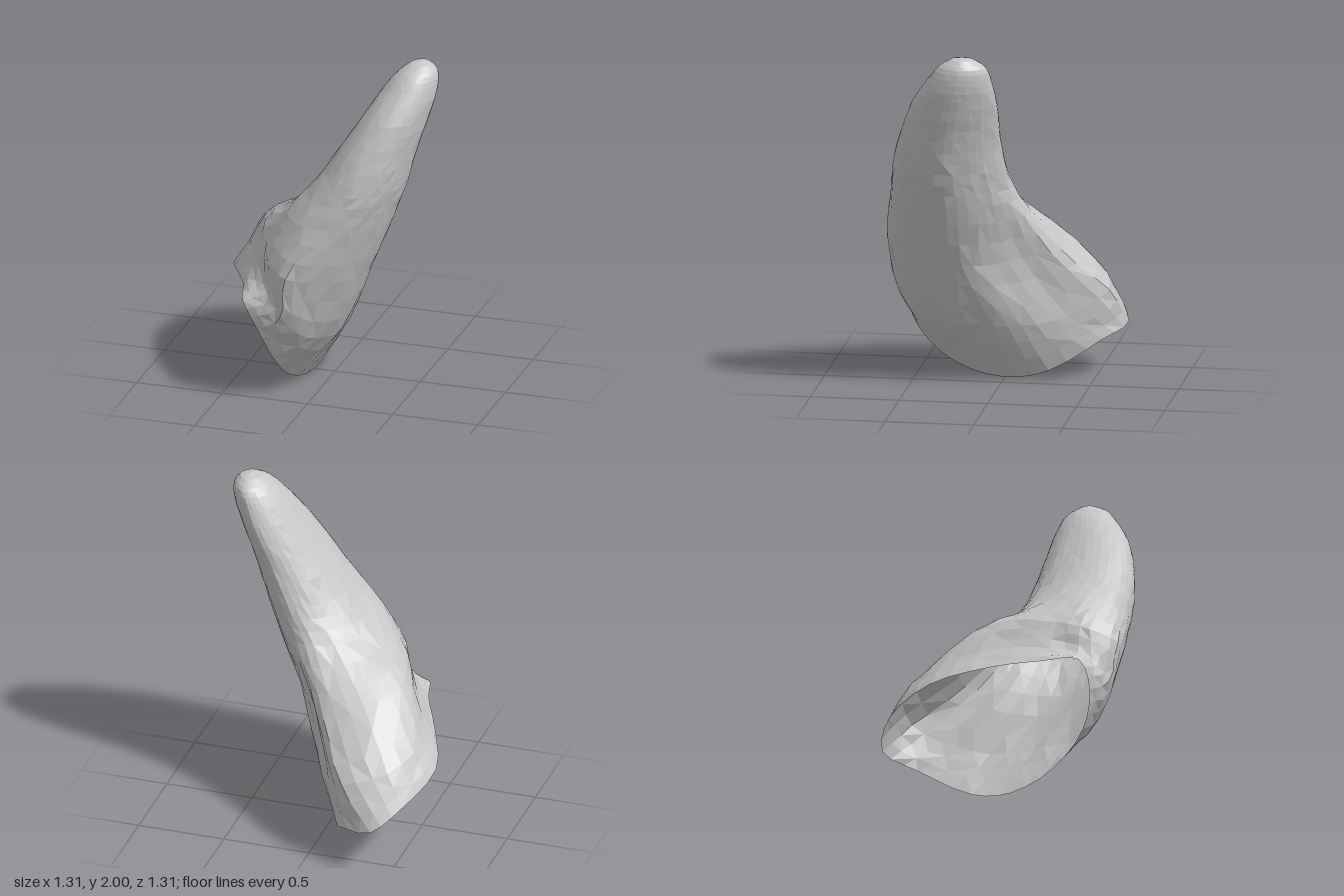
import * as THREE from 'three';

const AROUND = 36, ALONG = 27;
const toRing = (list) => list.map((p) => new THREE.Vector3(...p));

// Small repeatable surface unevenness
const rough = (i, j) => {
  const s = Math.sin(i * 127.1 + j * 311.7) * 43758.5453;
  return (s - Math.floor(s) - 0.5) * 0.012;
};

// Control rings run back, right, front, left. The rim is a slanted, torn loop.
const rim = toRing([
  [-0.41, 0.28, -0.655], [-0.2, 0.22, -0.54], [-0.11, 0.05, -0.25], [-0.12, 0, 0],
  [-0.16, 0.07, 0.29], [-0.2, 0.25, 0.5], [-0.27, 0.45, 0.58], [-0.36, 0.6, 0.56],
  [-0.42, 0.61, 0.36], [-0.54, 0.58, 0.1], [-0.655, 0.5, -0.22], [-0.56, 0.4, -0.53],
]);
const flare = toRing([
  [-0.22, 0.5, -0.57], [-0.07, 0.38, -0.36], [0.06, 0.34, -0.12], [0.1, 0.35, 0.1],
  [0.08, 0.35, 0.32], [0, 0.4, 0.5], [-0.12, 0.55, 0.62], [-0.22, 0.67, 0.56],
  [-0.33, 0.73, 0.36], [-0.45, 0.73, 0.1], [-0.56, 0.65, -0.2], [-0.46, 0.58, -0.49],
]);
const waist = toRing([
  [-0.03, 0.77, -0.33], [0.1, 0.75, -0.13], [0.23, 0.72, 0.07], [0.28, 0.74, 0.24],
  [0.25, 0.75, 0.4], [0.1, 0.77, 0.58], [-0.08, 0.8, 0.655], [-0.21, 0.85, 0.55],
  [-0.28, 0.9, 0.38], [-0.36, 0.93, 0.16], [-0.4, 0.9, -0.08], [-0.25, 0.85, -0.28],
]);

// Upper oval sections, flattened on the hollow of the bend:
// height, left x, right x, back z, front z
const ovals = [
  [1.1, -0.17, 0.43, -0.12, 0.61], [1.3, 0, 0.5, -0.07, 0.575],
  [1.5, 0.13, 0.555, -0.05, 0.52], [1.7, 0.26, 0.615, -0.045, 0.44],
  [1.85, 0.355, 0.65, -0.025, 0.34], [1.94, 0.43, 0.645, 0.005, 0.27],
  [1.985, 0.49, 0.61, 0.07, 0.2],
].map(([y, x0, x1, z0, z1]) => Array.from({ length: 12 }, (_, k) => {
  const a = (k / 12) * Math.PI * 2;
  const flat = Math.cos(a) > 0 ? 1 - 0.1 * Math.max(0, Math.sin(2 * a)) : 1;
  return new THREE.Vector3(
    (x0 + x1) / 2 + ((x1 - x0) / 2) * flat * Math.sin(a + 0.07), y,
    (z0 + z1) / 2 - ((z1 - z0) / 2) * flat * Math.cos(a));
}));

// Resample a control ring as a smooth closed loop
function smoothRing(ring) {
  const curve = new THREE.CatmullRomCurve3(ring, true);
  return Array.from({ length: AROUND }, (_, j) => curve.getPoint(j / AROUND));
}

// Skin a stack of rings with separate flat facets
function loft(rows) {
  const pos = [];
  const tri = (...pts) => pts.forEach((p) => pos.push(p.x, p.y, p.z));
  for (let i = 0; i < rows.length - 1; i++) {
    for (let j = 0; j < AROUND; j++) {
      const k = (j + 1) % AROUND;
      const a = rows[i][j], b = rows[i + 1][j], c = rows[i + 1][k], d = rows[i][k];
      if ((i * 7 + j * 3) % 5 < 3) {
        tri(a, b, d);
        tri(b, c, d);
      } else {
        tri(a, b, c);
        tri(a, c, d);
      }
    }
  }
  const geo = new THREE.BufferGeometry();
  geo.setAttribute('position', new THREE.Float32BufferAttribute(pos, 3));
  geo.computeVertexNormals();
  return geo;
}

export function createModel() {
  const group = new THREE.Group();
  group.name = 'horn';
  const paleGrey = new THREE.MeshStandardMaterial({ color: 0xc8c8c8, side: THREE.DoubleSide });
  paleGrey.name = 'paleGrey';

  // Open, curved horn wall from the torn rim up to the rounded tip
  const control = [rim, flare, waist, ...ovals].map(smoothRing);
  const strands = Array.from({ length: AROUND }, (_, j) =>
    new THREE.CatmullRomCurve3(control.map((r) => r[j])));
  const rows = Array.from({ length: ALONG + 1 }, (_, i) => strands.map((s, j) => {
    const p = s.getPoint(i / ALONG);
    const fade = i > 0 ? 1 - i / ALONG : 0;
    p.x += rough(i, j) * fade;
    p.y += rough(i + 90, j) * fade;
    p.z += rough(i + 50, j) * fade;
    return p;
  }));
  const tip = new THREE.Vector3(0.555, 2, 0.135);
  rows.push(rows[0].map(() => tip));
  const wall = new THREE.Mesh(loft(rows), paleGrey);
  wall.name = 'hornWall';
  group.add(wall);

  return group;
}
